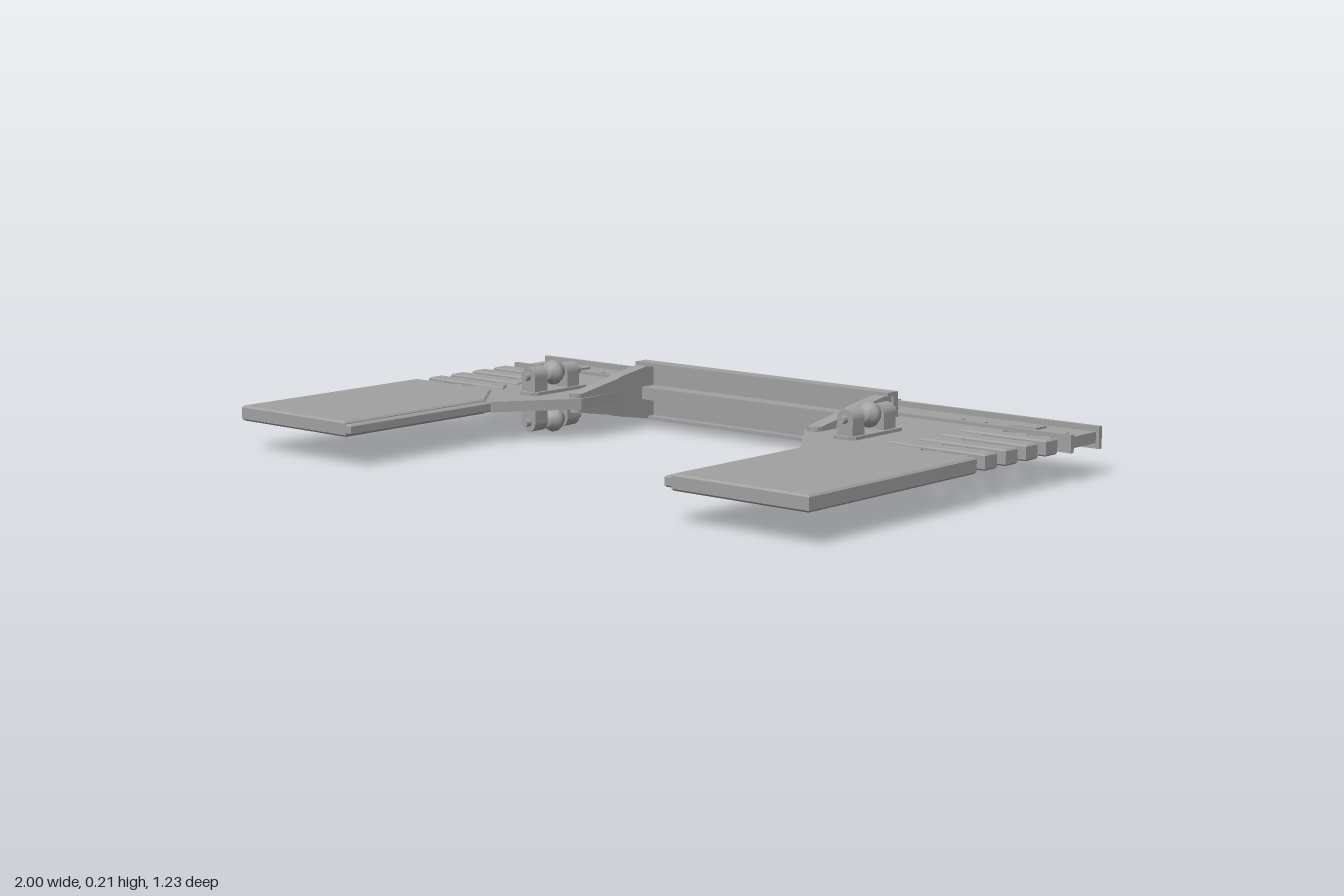
import * as THREE from 'three';

const MID = 0.105; // height of the symmetry plane

export function createModel() {
  const root = new THREE.Group();
  root.name = 'hullFrame';
  const grey = new THREE.MeshStandardMaterial({ color: 0xa0a0a0 });
  grey.name = 'grey';

  const add = (name, geo, parent = root) => {
    const m = new THREE.Mesh(geo, grey);
    m.name = name;
    parent.add(m);
    return m;
  };
  // Box given by its limits
  const box = (name, x0, x1, y0, y1, z0, z1, parent) => {
    const m = add(name, new THREE.BoxGeometry(Math.abs(x1 - x0), y1 - y0, z1 - z0), parent);
    m.position.set((x0 + x1) / 2, (y0 + y1) / 2, (z0 + z1) / 2);
    return m;
  };
  // Horizontal slab from [x, z] points, centred on the symmetry plane
  const slab = (name, pts, half, bevel = 0, parent) => {
    const shape = new THREE.Shape(pts.map(([x, z]) => new THREE.Vector2(x, -z)));
    const geo = new THREE.ExtrudeGeometry(shape, {
      depth: 2 * (half - bevel), bevelEnabled: bevel > 0, bevelThickness: bevel,
      bevelSize: bevel, bevelOffset: -bevel, bevelSegments: 1,
    });
    geo.translate(0, 0, -(half - bevel)).rotateX(-Math.PI / 2).translate(0, MID, 0);
    return add(name, geo, parent);
  };
  // Plate standing across x, from [z, y] points
  const upright = (name, pts, x0, x1, parent) => {
    const shape = new THREE.Shape(pts.map(([z, y]) => new THREE.Vector2(-z, y)));
    const geo = new THREE.ExtrudeGeometry(shape, { depth: Math.abs(x1 - x0), bevelEnabled: false });
    geo.rotateY(Math.PI / 2).translate(Math.min(x0, x1), 0, 0);
    return add(name, geo, parent);
  };
  const mirrored = pts => [...pts, ...pts.map(([x, z]) => [-x, z]).reverse()];

  // Main plate and the flange along its rear edge
  slab('mainPlate', mirrored([
    [0.2, -0.57], [0.31, -0.605], [0.99, -0.605], [0.99, -0.475], [0.8, -0.475], [0.8, -0.06],
    [0.69, -0.055], [0.575, 0.085], [0.55, 0.085], [0.4, -0.12], [0.41, -0.385],
  ]), 0.015);
  slab('rearFlange', [
    ...[[-1, -0.614], [-0.31, -0.614], [-0.2, -0.58], [0.2, -0.58], [0.31, -0.614], [1, -0.614]],
    ...[[1, -0.601], [0.31, -0.601], [0.2, -0.567], [-0.2, -0.567], [-0.31, -0.601], [-1, -0.601]],
  ], 0.03);

  // Cross beam: web with flanges round its open front
  box('beamWeb', -0.455, 0.455, 0.025, 0.19, -0.455, -0.435);
  for (const y of [0.025, 0.18]) box('beamFlange', -0.455, 0.455, y, y + 0.01, -0.436, -0.41);
  box('beamLedge', -0.41, 0.41, 0.087, 0.123, -0.436, -0.385);

  // Roller turned about the z axis
  const rollerProfile = [
    [0, -0.032], [0.018, -0.032], [0.021, -0.024], [0.029, -0.017], [0.031, -0.008], [0.035, -0.005],
    [0.035, 0.005], [0.031, 0.008], [0.029, 0.017], [0.021, 0.024], [0.018, 0.032], [0, 0.032],
  ].map(p => new THREE.Vector2(...p));

  const rollerUnit = (x, side) => {
    const g = new THREE.Group();
    g.name = side > 0 ? 'upperRoller' : 'lowerRoller';
    g.position.set(x, MID, -0.178);
    if (side < 0) g.rotation.z = Math.PI;
    root.add(g);
    // Chamfered foot
    const foot = slab('rollerFoot', [
      [-0.022, -0.115], [0.022, -0.115], [0.036, -0.098], [0.036, 0.098],
      [0.022, 0.115], [-0.022, 0.115], [-0.036, 0.098], [-0.036, -0.098],
    ], 0.005, 0, g);
    foot.position.y = 0.019 - MID;
    // Round-topped bearing blocks
    for (const z of [-0.058, 0.075]) {
      const s = new THREE.Shape();
      s.moveTo(-0.026, 0.015);
      s.lineTo(0.026, 0.015);
      s.lineTo(0.026, 0.066);
      s.absarc(0, 0.066, 0.026, 0, Math.PI, false);
      const geo = new THREE.ExtrudeGeometry(s, { depth: 0.05, bevelEnabled: false, curveSegments: 8 });
      add('bearingBlock', geo.translate(0, 0, z - 0.025), g);
    }
    const axle = add('axle', new THREE.CylinderGeometry(0.011, 0.011, 0.225, 12).rotateX(Math.PI / 2), g);
    axle.position.set(0, 0.066, 0.005);
    const roller = add('roller', new THREE.LatheGeometry(rollerProfile, 20).rotateX(Math.PI / 2), g);
    roller.position.y = 0.068;
  };

  for (const s of [1, -1]) {
    const g = new THREE.Group();
    g.name = s > 0 ? 'leftSide' : 'rightSide';
    root.add(g);
    const flip = pts => pts.map(([x, z]) => [s * x, z]);

    // Large front panel with a thinner inner lip
    slab('frontPanel', flip([[0.995, -0.055], [0.69, -0.055], [0.575, 0.085], [0.575, 0.612], [0.995, 0.612]]),
      0.021, 0.005, g);
    slab('panelLip', flip([[0.58, 0.08], [0.553, 0.08], [0.553, 0.612], [0.58, 0.612]]), 0.014, 0.004, g);

    // Side slats on two struts
    for (const z of [-0.42, -0.33, -0.24, -0.15]) {
      const last = z === -0.15;
      slab('slat', flip([[0.99, z], [0.72, z], [last ? 0.685 : 0.72, z + 0.052], [0.99, z + 0.052]]), 0.021, 0.004, g);
    }
    for (const x of [0.915, 0.842]) box('strut', s * x, s * (x + 0.028), 0.092, 0.118, -0.475, -0.05, g);

    // Rear rail: front rib and raised pads on both faces
    box('railRib', s * 0.32, s * 1, 0.081, 0.129, -0.482, -0.468, g);
    box('railPad', s * 0.775, s * 0.86, 0.084, 0.126, -0.565, -0.515, g);
    for (const [x, z] of [[0.945, -0.515], [0.69, -0.515], [0.615, -0.515], [0.365, -0.555], [0.29, -0.555]])
      box('railStud', s * (x - 0.011), s * (x + 0.011), 0.086, 0.124, z - 0.011, z + 0.011, g);

    // Clamp joining rail and beam
    upright('clamp', [
      [-0.455, 0.14], [-0.47, 0.152], [-0.5, 0.152], [-0.53, 0.138], [-0.585, 0.133], [-0.585, 0.137], [-0.621, 0.137],
      [-0.621, 0.073], [-0.585, 0.073], [-0.585, 0.077], [-0.53, 0.072], [-0.5, 0.058], [-0.47, 0.058], [-0.455, 0.07],
    ], s * 0.314, s * 0.342, g);
    for (const z of [-0.515, -0.48]) box('clampArm', s * 0.3, s * 0.356, 0.075, 0.135, z - 0.008, z + 0.008, g);

    // Tapered gusset between beam and plate, rounded at its tip
    upright('gusset', [
      [-0.44, 0.182], [-0.4, 0.18], [-0.3, 0.164], [-0.27, 0.156], [-0.13, 0.132],
      [-0.13, 0.078], [-0.27, 0.054], [-0.3, 0.046], [-0.4, 0.03], [-0.44, 0.028],
    ], s * 0.407, s * 0.448, g);
    const tip = add('gussetTip', new THREE.CylinderGeometry(0.02, 0.02, 0.054, 12), g);
    tip.position.set(s * 0.427, MID, -0.13);

    rollerUnit(s * 0.565, 1);
    rollerUnit(s * 0.565, -1);
  }
  return root;
}
